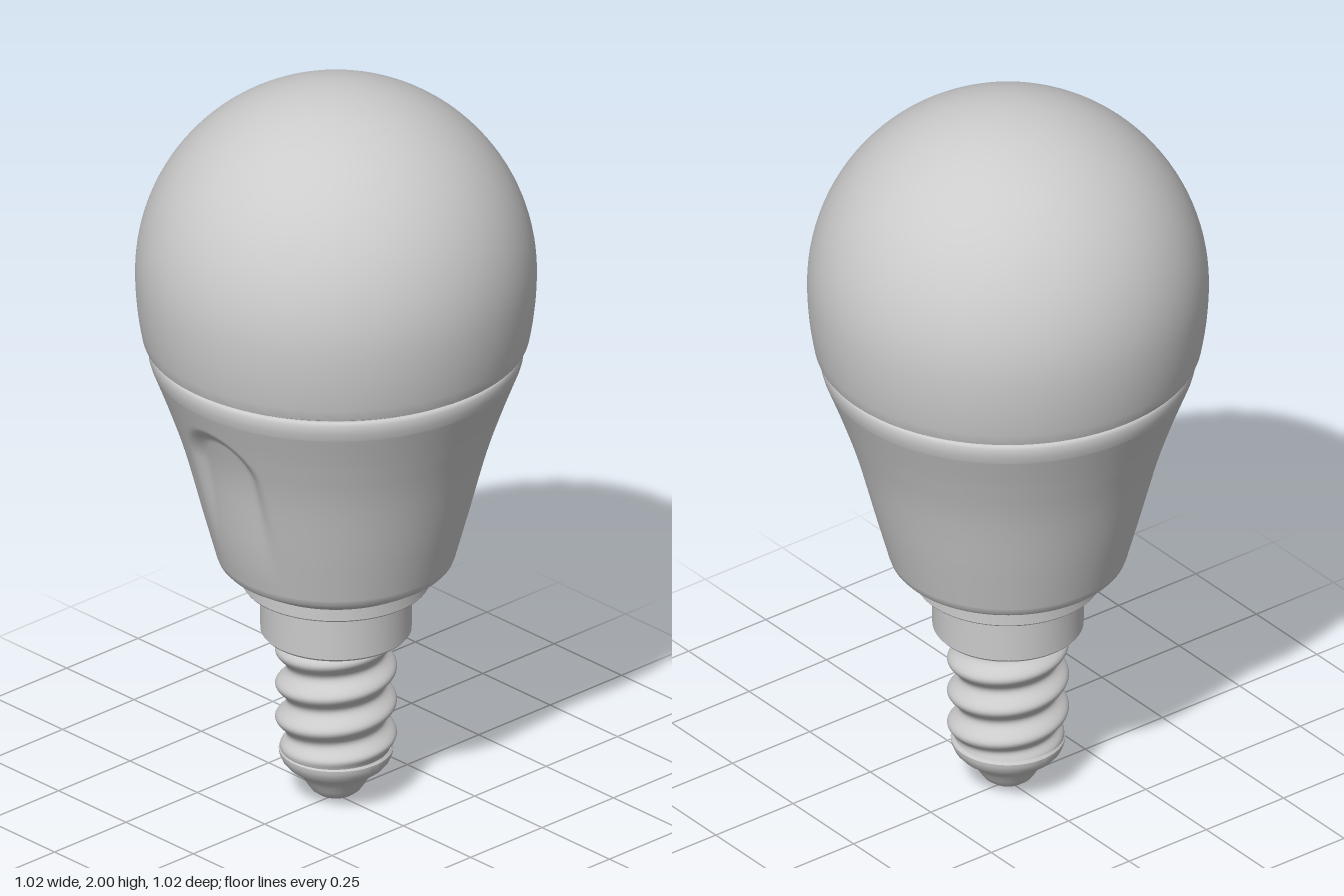
import * as THREE from 'three';
import { mergeVertices, toCreasedNormals } from 'three/addons/utils/BufferGeometryUtils.js';

const material = new THREE.MeshStandardMaterial({ color: 0xcccccc });
const vectors = (pts) => pts.map(([r, y]) => new THREE.Vector2(r, y));

function addMesh(group, name, geometry) {
  const mesh = new THREE.Mesh(geometry, material);
  mesh.name = name;
  group.add(mesh);
}

// Turned part, profile listed from bottom to top; corners above the crease angle stay sharp
function turned(pts, segments = 96, crease = 0.6) {
  return toCreasedNormals(new THREE.LatheGeometry(vectors(pts), segments), crease);
}

// Turned part whose radius is changed by a rule radius(angle, y, r, position)
function shaped(pts, segments, radius) {
  const geometry = new THREE.LatheGeometry(vectors(pts), segments, Math.PI);
  const pos = geometry.attributes.position;
  for (let i = 0; i < pos.count; i++) {
    const x = pos.getX(i), y = pos.getY(i), z = pos.getZ(i);
    const r = Math.hypot(x, z), angle = Math.atan2(x, z);
    const k = r > 0 ? radius(angle, y, r) / r : 1;
    pos.setX(i, x * k);
    pos.setZ(i, z * k);
  }
  geometry.deleteAttribute('uv');
  geometry.deleteAttribute('normal');
  const merged = mergeVertices(geometry, 1e-5);
  merged.computeVertexNormals();
  return merged;
}

export function createModel() {
  const group = new THREE.Group();
  group.name = 'lightBulb';

  // Globe: half sphere on a gently narrowing skirt
  const R = 0.512, centreY = 2 - R;
  const globe = [[0, 1.298], [0.46, 1.298], [0.484, 1.298], [0.491, 1.302], [0.494, 1.31]];
  for (let i = 1; i <= 8; i++) {
    const t = i / 8;
    globe.push([0.494 + 0.018 * (1 - (1 - t) ** 2), 1.31 + (centreY - 1.31) * t]);
  }
  for (let i = 1; i <= 32; i++) {
    const a = (i / 32) * Math.PI / 2;
    globe.push([i === 32 ? 0 : R * Math.cos(a), centreY + R * Math.sin(a)]);
  }
  addMesh(group, 'globe', turned(globe, 128));

  // Housing: flared body with a shallow thumb recess on the front
  const wall = new THREE.SplineCurve(vectors(
    [[0.306, 0.695], [0.34, 0.82], [0.388, 1.0], [0.43, 1.125], [0.472, 1.235]]));
  const housing = [[0.24, 0.642], [0.27, 0.659], [0.293, 0.673], [0.301, 0.682],
    ...wall.getPoints(90).map((p) => [p.x, p.y]),
    [0.477, 1.252], [0.478, 1.265], [0.478, 1.278], [0.474, 1.286], [0.466, 1.289], [0.45, 1.29]];
  const recess = (angle, y, r) => {
    if (Math.abs(angle) > 1) return r;
    const x = r * Math.sin(angle);
    const d = Math.hypot(x, Math.max(0, y - 1.05));
    const edge = 1 - THREE.MathUtils.smoothstep(d, 0.085, 0.13);
    const fade = THREE.MathUtils.smoothstep(y, 0.72, 1.1);
    return r - 0.024 * edge * fade;
  };
  addMesh(group, 'housing', shaped(housing, 240, recess));

  // Dark groove filler between globe and housing
  addMesh(group, 'neckRing', turned([[0.452, 1.27], [0.468, 1.28], [0.468, 1.305]]));

  // Flange with a hollow underside, and the collar that sits in it
  addMesh(group, 'flange', turned([[0.19, 0.635], [0.214, 0.635], [0.214, 0.606],
    [0.237, 0.606], [0.24, 0.61], [0.24, 0.642]]));
  addMesh(group, 'collar', turned([[0, 0.47], [0.188, 0.47], [0.193, 0.476], [0.195, 0.64]]));

  // Screw thread: right-handed helical wave
  const pitch = 0.095, thread = [];
  for (let i = 0; i <= 100; i++) thread.push([0.141, 0.13 + 0.35 * i / 100]);
  addMesh(group, 'screwThread', shaped(thread, 96, (angle, y, r) => {
    const phase = (y - 0.33) / pitch * Math.PI * 2 - angle;
    return r + 0.0145 * Math.cos(phase) * THREE.MathUtils.smoothstep(y, 0.125, 0.18);
  }));

  // Base rim and rounded contact tip
  addMesh(group, 'baseRim', turned([[0.09, 0.083], [0.112, 0.086], [0.125, 0.093], [0.138, 0.108],
    [0.145, 0.125], [0.146, 0.135], [0.141, 0.142], [0.125, 0.143]]));
  addMesh(group, 'contactTip', turned([[0, 0], [0.025, 0.003], [0.047, 0.011], [0.064, 0.024],
    [0.075, 0.04], [0.084, 0.056], [0.096, 0.071], [0.112, 0.086]]));

  return group;
}
